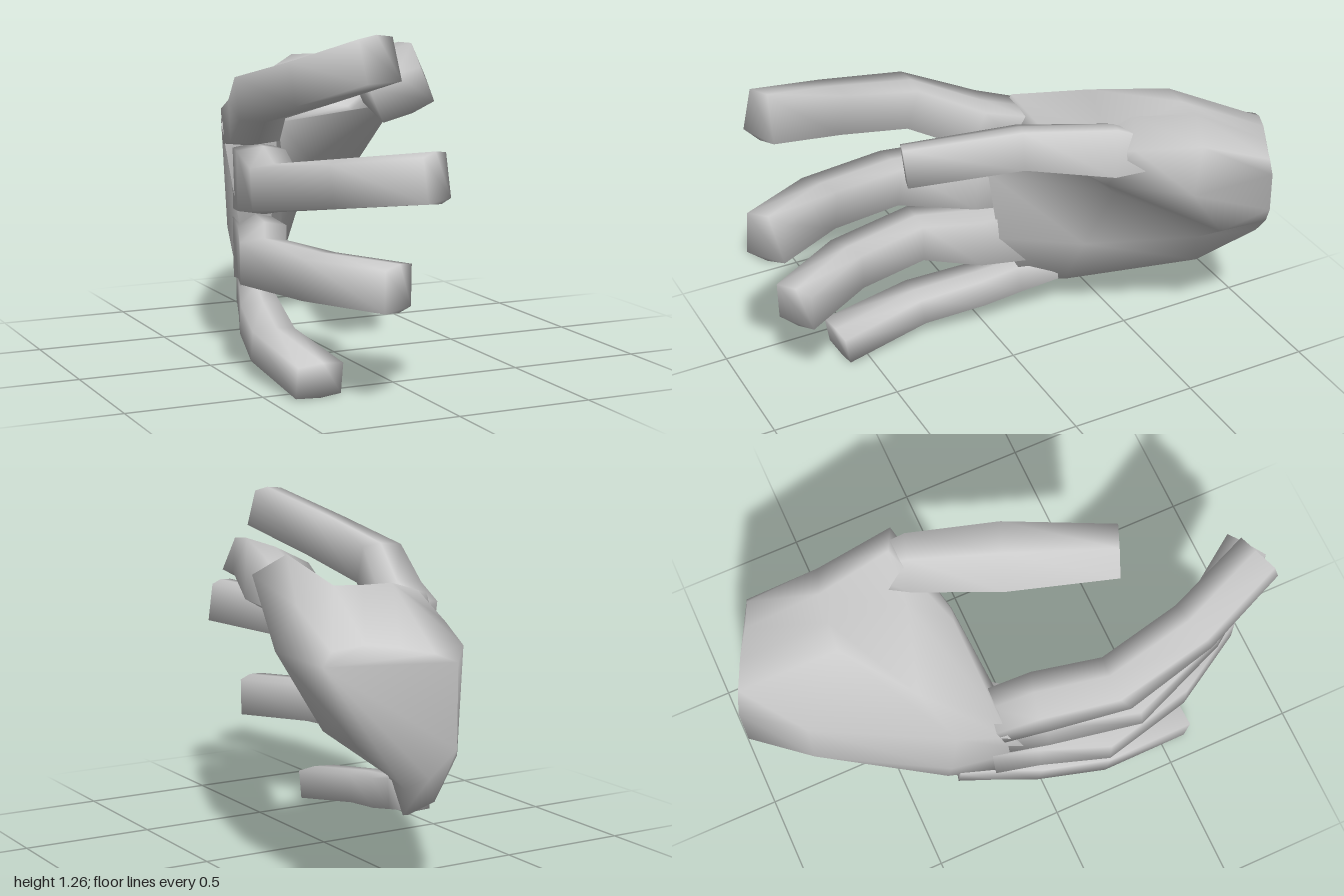
import * as THREE from 'three';

const material = new THREE.MeshStandardMaterial({ color: 0xcccccc });

// Smooth skin through rings of points (counter-clockwise seen from the far end), closed at both ends
function loft(rings, name) {
  const n = rings[0].length, end = (rings.length - 1) * n, index = [];
  for (let start = 0; start < end; start += n) {
    for (let i = 0; i < n; i++) {
      const a = start + i, b = start + (i + 1) % n;
      index.push(a, b, b + n, a, b + n, a + n);
    }
  }
  for (let i = 1; i < n - 1; i++) index.push(0, i + 1, i, end, end + i, end + i + 1);
  const geometry = new THREE.BufferGeometry().setFromPoints(rings.flat());
  geometry.setIndex(index);
  geometry.computeVertexNormals();
  const mesh = new THREE.Mesh(geometry, material);
  mesh.name = name;
  return mesh;
}

// Digit cross-section: [across, up], slightly rounded box
const section = [[1, -0.88], [1, 0.88], [0.1, 1], [-1, 0.88], [-1, -0.88], [0.1, -1]];

// stations: [x, y, z, half height, half thickness]
function digit(name, stations, roll = 0) {
  const centres = stations.map(s => new THREE.Vector3(s[0], s[1], s[2]));
  const last = centres.length - 1;
  const rings = stations.map(([, , , h, t], i) => {
    const dir = centres[Math.min(i + 1, last)].clone().sub(centres[Math.max(i - 1, 0)]).normalize();
    const side = new THREE.Vector3(0, 1, 0).cross(dir).normalize();
    const up = dir.clone().cross(side);
    side.applyAxisAngle(dir, roll);
    up.applyAxisAngle(dir, roll);
    return section.map(([s, u]) =>
      centres[i].clone().addScaledVector(side, s * t).addScaledVector(up, u * h));
  });
  return loft(rings, name);
}

export function createModel() {
  const hand = new THREE.Group();
  hand.name = 'hand';

  // Palm rings from wrist to knuckles: thumb mound (3), thumb web, top ridge, back (2),
  // little-finger edge (2), palm (2)
  const palmRings = [
    [[0.49, 0.86, -0.81], [0.46, 0.91, -0.815], [0.36, 0.93, -0.86], [0.26, 0.92, -0.92], [0.16, 0.9, -0.97],
      [0.09, 0.87, -1], [0.09, 0.58, -1], [0.17, 0.48, -0.96], [0.25, 0.45, -0.93], [0.39, 0.59, -0.87],
      [0.45, 0.68, -0.84]],
    [[0.48, 0.86, -0.48], [0.43, 1.02, -0.54], [0.31, 1.085, -0.58], [0.2, 1.08, -0.59], [0.09, 1.08, -0.6],
      [-0.07, 0.88, -0.8], [-0.05, 0.5, -0.8], [0.02, 0.34, -0.77], [0.13, 0.3, -0.74], [0.16, 0.43, -0.71],
      [0.4, 0.61, -0.66]],
    [[0.34, 0.91, -0.2], [0.44, 1.09, -0.25], [0.33, 1.16, -0.3], [0.18, 0.99, -0.3], [-0.15, 1.01, -0.4],
      [-0.32, 0.87, -0.33], [-0.29, 0.45, -0.35], [-0.24, 0.2, -0.35], [-0.17, 0.16, -0.32], [-0.09, 0.36, -0.36],
      [0.08, 0.68, -0.39]],
    [[-0.17, 0.87, -0.13], [0.14, 0.9, -0.15], [0.13, 0.915, -0.155], [0.08, 0.92, -0.165], [-0.34, 0.955, -0.17],
      [-0.385, 0.87, -0.16], [-0.355, 0.5, -0.06], [-0.31, 0.25, -0.17], [-0.21, 0.2, -0.16], [-0.2, 0.42, -0.04],
      [-0.205, 0.72, 0]],
  ];
  hand.add(loft(palmRings.map(ring => ring.map(p => new THREE.Vector3(...p))), 'palm'));

  // Fingers and thumb, each from inside the palm out to the tip
  hand.add(
    digit('indexFinger', [
      [-0.29, 0.86, -0.17, 0.075, 0.085], [-0.32, 0.9, 0, 0.09, 0.09], [-0.4, 1.01, 0.25, 0.088, 0.085],
      [-0.345, 1.09, 0.57, 0.086, 0.083], [-0.235, 1.185, 0.87, 0.085, 0.08]]),
    digit('middleFinger', [
      [-0.27, 0.67, -0.13, 0.13, 0.08], [-0.3, 0.68, 0.02, 0.125, 0.09], [-0.385, 0.7, 0.33, 0.085, 0.085],
      [-0.26, 0.755, 0.67, 0.085, 0.083], [-0.065, 0.8, 0.95, 0.087, 0.08]]),
    digit('ringFinger', [
      [-0.26, 0.4, -0.18, 0.13, 0.07], [-0.29, 0.41, 0, 0.11, 0.09], [-0.385, 0.42, 0.23, 0.085, 0.085],
      [-0.31, 0.42, 0.55, 0.083, 0.083], [-0.145, 0.415, 0.83, 0.083, 0.08]]),
    digit('littleFinger', [
      [-0.22, 0.215, -0.3, 0.05, 0.05], [-0.26, 0.195, -0.15, 0.066, 0.06], [-0.3, 0.16, 0, 0.065, 0.075],
      [-0.355, 0.12, 0.25, 0.064, 0.08], [-0.33, 0.066, 0.6, 0.064, 0.088]]),
    digit('thumb', [
      [0.37, 1.0, -0.42, 0.05, 0.05], [0.31, 1.03, -0.23, 0.095, 0.105], [0.185, 1.06, 0.07, 0.075, 0.125],
      [0.05, 1.02, 0.46, 0.075, 0.097]], 0.4));
  return hand;
}
